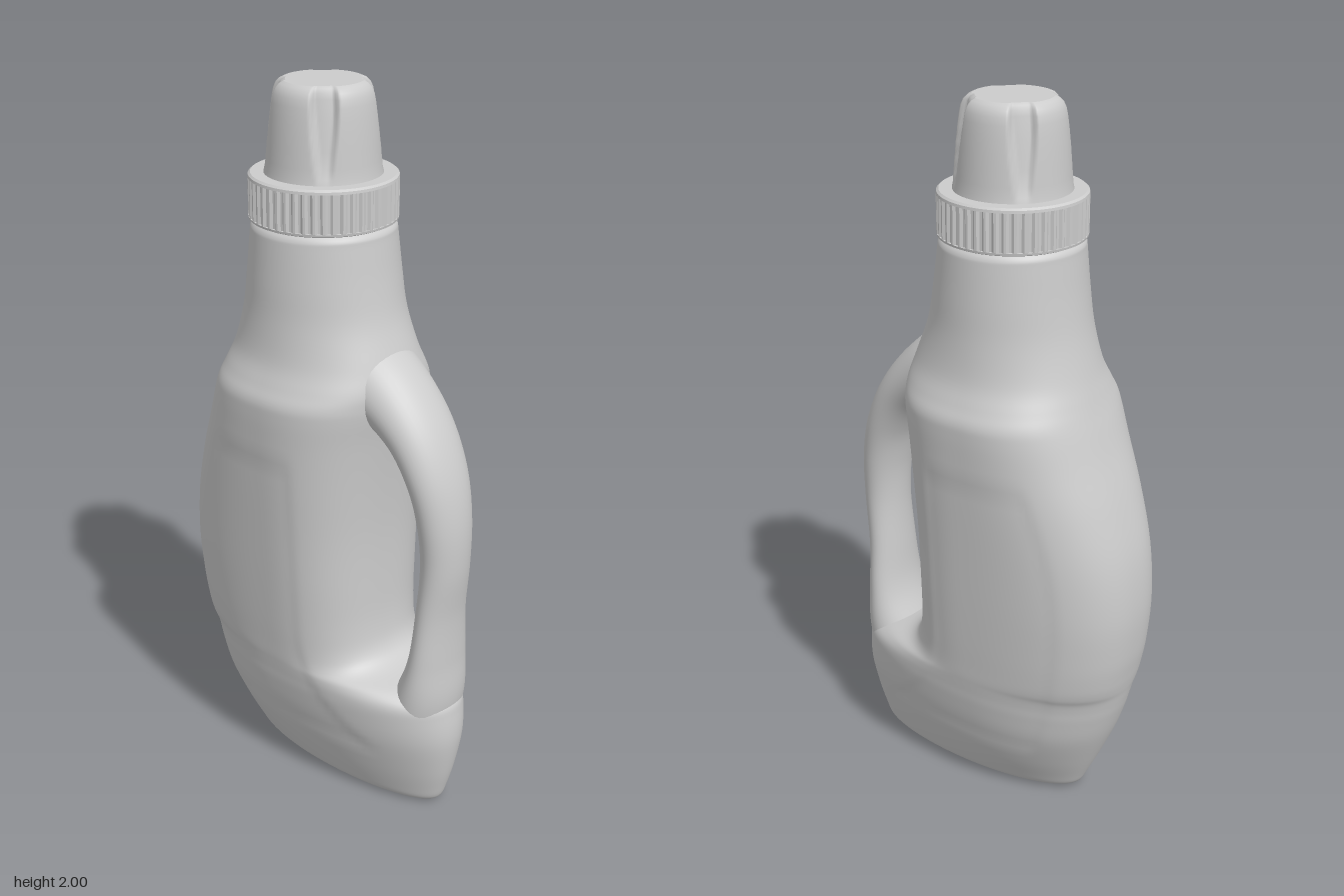
import * as THREE from 'three';

const CX = -0.045; // axis of neck and cap
const smooth = THREE.MathUtils.smoothstep;

// Skin over closed rings (rows run along the part), with flat ends.
function loft(name, rows, segs, point, flatShading = false) {
  const pos = [], idx = [];
  for (let i = 0; i < rows; i++)
    for (let j = 0; j < segs; j++) pos.push(...point(i, (j / segs) * Math.PI * 2, j));
  for (let i = 0; i < rows - 1; i++)
    for (let j = 0; j < segs; j++) {
      const k = (j + 1) % segs;
      const a = i * segs + j, b = i * segs + k, c = a + segs, d = b + segs;
      idx.push(a, c, b, b, c, d);
    }
  for (const end of [0, rows - 1]) {
    const first = pos.length / 3, mid = [0, 0, 0];
    for (let j = 0; j < segs; j++) {
      const p = pos.slice((end * segs + j) * 3, (end * segs + j) * 3 + 3);
      pos.push(...p);
      p.forEach((v, n) => (mid[n] += v / segs));
    }
    pos.push(...mid);
    for (let j = 0; j < segs; j++) {
      const a = first + j, b = first + ((j + 1) % segs), m = first + segs;
      if (end === 0) idx.push(m, a, b); else idx.push(m, b, a);
    }
  }
  const geo = new THREE.BufferGeometry();
  geo.setAttribute('position', new THREE.Float32BufferAttribute(pos, 3));
  geo.setIndex(idx);
  geo.computeVertexNormals();
  const mesh = new THREE.Mesh(geo, new THREE.MeshStandardMaterial({ color: 0xcccccc, flatShading }));
  mesh.name = name;
  return mesh;
}

const spline = (pts) =>
  new THREE.CatmullRomCurve3(pts.map((p) => new THREE.Vector3(...p)), false, 'catmullrom', 0.5);

// Bottle body: y, left edge, right edge, half depth, widest x, roundness exponent
function body() {
  const S = [
    [0, -0.27, 0.395, 0.09, 0.05, 2], [0.015, -0.293, 0.41, 0.115, 0.04, 2],
    [0.05, -0.312, 0.422, 0.135, 0.02, 2], [0.12, -0.345, 0.44, 0.165, -0.02, 2.05],
    [0.22, -0.388, 0.455, 0.2, -0.05, 2.1], [0.3, -0.415, 0.45, 0.217, -0.05, 2.1],
    [0.345, -0.427, 0.435, 0.223, -0.05, 2.1], [0.375, -0.434, 0.37, 0.227, -0.05, 2.15],
    [0.4, -0.44, 0.265, 0.23, -0.05, 2.3], [0.44, -0.448, 0.218, 0.233, -0.05, 2.4],
    [0.52, -0.46, 0.2, 0.239, -0.05, 2.45], [0.65, -0.466, 0.195, 0.247, -0.05, 2.5],
    [0.8, -0.45, 0.196, 0.255, -0.05, 2.5], [0.95, -0.408, 0.205, 0.263, -0.05, 2.5],
    [1.08, -0.361, 0.218, 0.269, -0.05, 2.45], [1.16, -0.334, 0.23, 0.272, -0.05, 2.4],
    [1.2, -0.32, 0.235, 0.269, -0.05, 2.35], [1.24, -0.307, 0.238, 0.25, -0.05, 2.25],
    [1.3, -0.289, 0.223, 0.226, -0.045, 2.1], [1.4, -0.265, 0.187, 0.211, CX, 2],
    [1.5, -0.25, 0.167, 0.204, CX, 2], [1.6, -0.24, 0.153, 0.196, CX, 2],
    [1.625, -0.237, 0.149, 0.192, CX, 2], [1.64, -0.225, 0.135, 0.18, CX, 2],
  ];
  const edges = spline(S.map((s) => [s[1], s[0], s[2]]));
  const bulk = spline(S.map((s) => [s[3], s[4], s[5]]));
  const rows = (S.length - 1) * 5 + 1;
  return loft('bottleBody', rows, 128, (i, a) => {
    const { x: left, y, z: right } = edges.getPoint(i / (rows - 1));
    const { x: depth, y: mid, z: n } = bulk.getPoint(i / (rows - 1));
    const c = Math.cos(a), s = Math.sin(a);
    const x = mid + Math.sign(c) * Math.abs(c) ** (2 / n) * (c > 0 ? right - mid : mid - left);
    let z = Math.sign(s) * Math.abs(s) ** (2 / n) * depth;
    // shallow label panel on both broad sides
    const edge = 0.07 + 0.2 * Math.max(0, (0.5 - y) / 0.3) ** 2;
    const panel = smooth(x, left + 0.12, left + 0.16) * (1 - smooth(x, edge - 0.03, edge + 0.01))
      * smooth(y, 0.16, 0.2) * (1 - smooth(y, 1.01, 1.05));
    z -= Math.sign(s) * panel * 0.004;
    return [x, Math.max(0, y), z];
  });
}

// Handle: x, y of the centre line, half thickness, half width
function handle() {
  const S = [
    [0.07, 1.28, 0.12, 0.14], [0.2, 1.215, 0.096, 0.122], [0.3, 1.13, 0.075, 0.11],
    [0.364, 1.02, 0.065, 0.1], [0.395, 0.9, 0.061, 0.088], [0.402, 0.77, 0.057, 0.08],
    [0.391, 0.62, 0.052, 0.087], [0.383, 0.48, 0.058, 0.102], [0.364, 0.36, 0.081, 0.115],
    [0.32, 0.22, 0.1, 0.115],
  ];
  const path = spline(S.map((s) => [s[0], s[1], 0]));
  const size = spline(S.map((s) => [s[2], s[3], 0]));
  const rows = 73;
  return loft('handle', rows, 40, (i, a) => {
    const t = i / (rows - 1);
    const p = path.getPoint(t), d = path.getTangent(t), r = size.getPoint(t);
    const across = r.x * Math.cos(a);
    return [p.x + d.y * across, p.y - d.x * across, r.y * Math.sin(a)];
  });
}

// Ribbed collar: y, radius, rib depth
function collar() {
  const S = [
    [1.638, 0.188, 0], [1.642, 0.197, 0], [1.648, 0.198, 0], [1.648, 0.198, 0.006],
    [1.75, 0.198, 0.006], [1.75, 0.198, 0], [1.757, 0.197, 0], [1.762, 0.191, 0],
  ];
  return loft('collar', S.length, 192, (i, a, j) => {
    const r = S[i][1] - (j % 4 > 1 ? S[i][2] : 0);
    return [CX + r * Math.cos(a), S[i][0], r * Math.sin(a)];
  }, true);
}

// Cap: y, radius; four diagonal grip grooves widen towards the top
function cap() {
  const S = [
    [1.755, 0.158], [1.775, 0.154], [1.8, 0.152], [1.84, 0.149], [1.88, 0.146], [1.92, 0.142],
    [1.95, 0.138], [1.97, 0.134], [1.985, 0.127], [1.995, 0.117], [2, 0.106],
  ];
  return loft('cap', S.length, 192, (i, a) => {
    const [y, r0] = S[i];
    const up = smooth(y, 1.755, 1.96);
    const off = Math.abs((a % (Math.PI / 2)) - Math.PI / 4);
    const half = 0.1 + 0.14 * up;
    const groove = (1 - smooth(off, half - 0.05, half + 0.05)) * smooth(y, 1.765, 1.81);
    const r = r0 - groove * (0.009 + 0.009 * up) * (1 - 0.5 * smooth(y, 1.97, 2));
    return [CX + r * Math.cos(a), y, r * Math.sin(a)];
  });
}

export function createModel() {
  const group = new THREE.Group();
  group.name = 'detergentBottle';
  group.add(body(), handle(), collar(), cap());
  return group;
}
